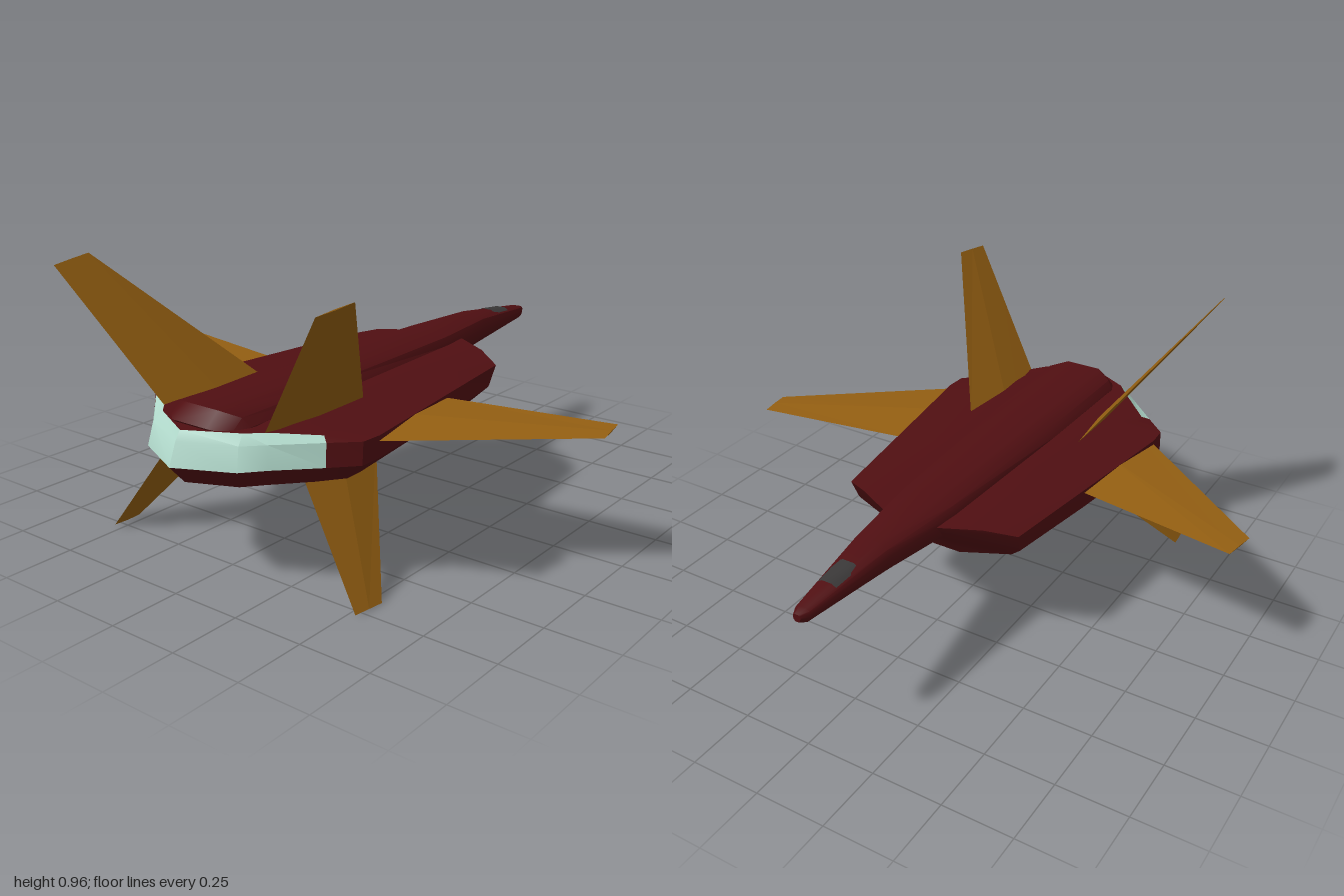
import * as THREE from 'three';
import { toCreasedNormals } from 'three/addons/utils/BufferGeometryUtils.js';

const mat = (name, color, side = THREE.FrontSide) => {
  const m = new THREE.MeshStandardMaterial({ color, side });
  m.name = name;
  return m;
};

// Skin closed rings of Vector3; keep(ring, side) selects which quads are made.
function loft(rings, keep = () => true, crease = 0.6) {
  const pos = [];
  const n = rings[0].length;
  for (let r = 0; r < rings.length - 1; r++) {
    for (let i = 0; i < n; i++) {
      if (!keep(r, i)) continue;
      const k = (i + 1) % n;
      const a = rings[r][i], b = rings[r][k], c = rings[r + 1][k], d = rings[r + 1][i];
      for (const t of [[a, b, c], [a, c, d]]) {
        const area = t[1].clone().sub(t[0]).cross(t[2].clone().sub(t[0])).length();
        if (area > 1e-8) for (const p of t) pos.push(p.x, p.y, p.z);
      }
    }
  }
  const g = new THREE.BufferGeometry();
  g.setAttribute('position', new THREE.Float32BufferAttribute(pos, 3));
  return toCreasedNormals(g, crease);
}

// Mirror a right-hand half section into a closed ring.
const mirrorRing = (half) => [
  ...half,
  ...half.slice().reverse().map((p) => new THREE.Vector3(-p.x, p.y, p.z)),
];

// A ring shrunk onto its own centre, used to close an end.
function closing(ring) {
  const c = new THREE.Vector3();
  ring.forEach((p) => c.add(p));
  c.divideScalar(ring.length);
  return ring.map(() => c.clone());
}

// Hull plan outlines [x, z] from nose side to tail, one per height.
const outlines = [
  [[0, -0.27], [0.11, -0.27], [0.27, -0.19], [0.31, 0.11], [0.37, 0.56], [0.37, 0.62], [0.31, 0.70], [0.21, 0.81], [0.16, 0.87], [0, 0.94]],
  [[0, -0.31], [0.11, -0.31], [0.33, -0.24], [0.385, 0.11], [0.445, 0.56], [0.445, 0.64], [0.37, 0.72], [0.25, 0.84], [0.19, 0.91], [0, 1.0]],
  [[0, -0.38], [0.11, -0.38], [0.34, -0.27], [0.39, 0.11], [0.45, 0.56], [0.445, 0.635], [0.365, 0.71], [0.24, 0.83], [0.18, 0.89], [0, 0.97]],
  [[0, -0.40], [0.11, -0.40], [0.24, -0.33], [0.25, 0.11], [0.31, 0.56], [0.32, 0.62], [0.34, 0.69], [0.225, 0.80], [0.17, 0.86], [0, 0.95]],
];
const heights = [0.35, 0.415, 0.49, 0.52];

function hullRings() {
  return outlines[0].map((_, j) => {
    const half = outlines.map((line, l) => {
      const [x, z] = line[j];
      const drop = l === 3 ? Math.max(0, x - 0.2) * 0.125 : 0;
      return new THREE.Vector3(x, heights[l] - drop, z);
    });
    const [x, z] = outlines[3][j];
    half.push(new THREE.Vector3(x * 0.55, 0.52, z));
    return mirrorRing(half);
  });
}

// Faceted section of the spine and nose; sweep pulls the sides forward.
const profile = [[0.45, 0], [0.85, 0.25], [1, 0.5], [1, 0.69], [0.85, 0.87], [0.45, 1]];
const spineRing = (z, w, low, top, sweep = 0) => mirrorRing(profile.map(([u, v]) =>
  new THREE.Vector3(u * w, low + v * (top - low), z - sweep * u * w)));

// Tapered blade with a thin diamond section, from root edge to tip edge.
function blade(rootFront, rootBack, tipFront, tipBack, thick, side) {
  const [rf, rb, tf, tb] = [rootFront, rootBack, tipFront, tipBack]
    .map(([x, y, z]) => new THREE.Vector3(x * side, y, z));
  // sink the root a little into the hull
  const rf2 = rf.clone().lerp(tf, -0.06), rb2 = rb.clone().lerp(tb, -0.06);
  const normal = rb.clone().sub(rf).cross(tf.clone().sub(rf)).normalize();
  const section = (f, b, t) => {
    const m = f.clone().lerp(b, 0.5);
    return [f, m.clone().addScaledVector(normal, t), b, m.clone().addScaledVector(normal, -t)];
  };
  const tip = section(tf, tb, 0.002);
  return loft([section(rf2, rb2, thick), tip, closing(tip)], undefined, 0.02);
}

export function createModel() {
  const group = new THREE.Group();
  group.name = 'spacecraft';
  const red = mat('darkRedHull', 0x500f12);
  const gold = mat('bronzeFins', 0x945f12);
  const glow = mat('paleMintEngine', 0xb0d8ca);
  const grey = mat('cockpitGrey', 0x3a3838, THREE.DoubleSide);
  const add = (name, geometry, material) => {
    const mesh = new THREE.Mesh(geometry, material);
    mesh.name = name;
    group.add(mesh);
  };

  // Hull, with the wraparound engine band at the tail
  const rings = hullRings();
  const isEngine = (r, i) => r >= 6 && [1, 2, 6, 7].includes(i);
  add('hull', loft(rings, (r, i) => !isEngine(r, i)), red);
  add('engineBand', loft(rings, isEngine), glow);

  // Nose and spine in one run
  const spine = [
    spineRing(-1.0, 0.014, 0.485, 0.512),
    spineRing(-0.97, 0.03, 0.47, 0.52),
    spineRing(-0.62, 0.075, 0.442, 0.56),
    spineRing(-0.30, 0.118, 0.41, 0.566),
    spineRing(0.35, 0.145, 0.41, 0.57),
    spineRing(0.90, 0.155, 0.41, 0.57, 0.6),
    spineRing(0.95, 0.155, 0.41, 0.525, 0.6),
  ];
  spine.unshift(closing(spine[0]));
  spine.push(closing(spine[spine.length - 1]));
  add('noseAndSpine', loft(spine), red);

  // Cockpit window laid over the top of the nose
  const pane = [
    spineRing(-0.85, 0.041, 0.467, 0.538),
    spineRing(-0.74, 0.048, 0.456, 0.550),
  ];
  add('cockpitWindow', loft(pane, (r, i) => i >= 4 && i <= 6), grey);

  // Wings and fins, mirrored
  for (const [side, label] of [[1, 'left'], [-1, 'right']]) {
    add(label + 'Wing', blade([0.39, 0.477, 0.11], [0.455, 0.472, 0.56],
      [0.962, 0.48, 0.013], [0.982, 0.476, 0.14], 0.015, side), gold);
    add(label + 'UpperFin', blade([0.23, 0.51, 0.36], [0.21, 0.51, 0.81],
      [0.547, 0.962, 0.80], [0.533, 0.948, 0.95], 0.011, side), gold);
    add(label + 'LowerFin', blade([0.29, 0.355, 0.37], [0.285, 0.355, 0.72],
      [0.537, 0.002, 0.665], [0.528, 0.008, 0.782], 0.01, side), gold);
  }
  return group;
}
